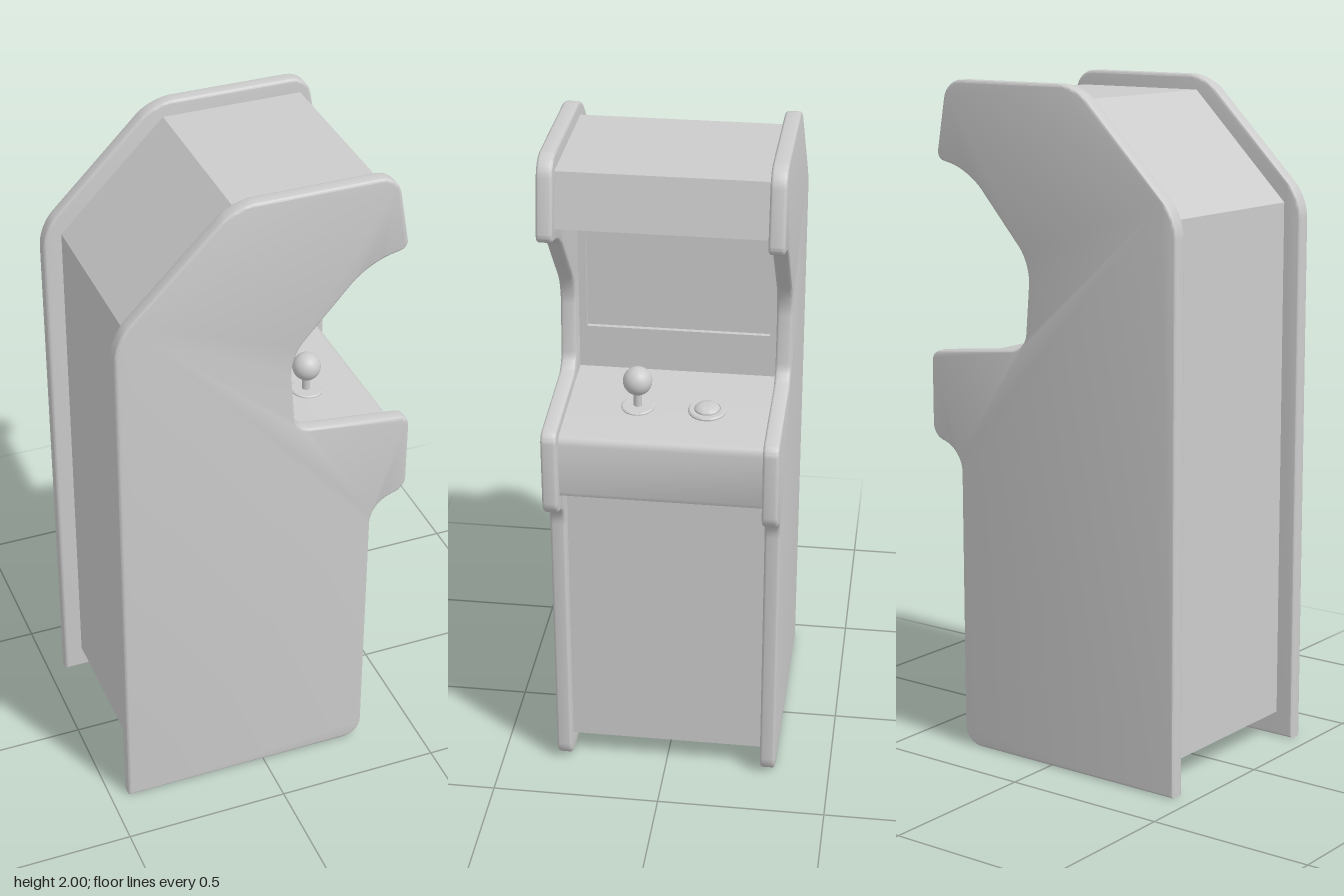
import * as THREE from 'three';
import { toCreasedNormals } from 'three/addons/utils/BufferGeometryUtils.js';

const grey = new THREE.MeshStandardMaterial({ color: 0xcccccc });
const thin = new THREE.MeshStandardMaterial({ color: 0xcccccc, side: THREE.DoubleSide });

const PANEL_IN = 0.29, PANEL_OUT = 0.335; // z range of a side panel
const WALL_X = 0.02;                      // face of the monitor wall

function addMesh(parent, name, geometry, material = grey) {
  const mesh = new THREE.Mesh(geometry, material);
  mesh.name = name;
  parent.add(mesh);
  return mesh;
}

// Closed outline from corners [x, y, t]; t is how far the rounding reaches along each edge
function roundedShape(corners) {
  const shape = new THREE.Shape();
  const n = corners.length;
  corners.forEach(([x, y, t], i) => {
    const p = new THREE.Vector2(x, y);
    const toward = ([ax, ay]) => p.clone().add(new THREE.Vector2(ax - x, ay - y).setLength(t));
    const a = t ? toward(corners[(i + n - 1) % n]) : p;
    if (i === 0) shape.moveTo(a.x, a.y);
    else shape.lineTo(a.x, a.y);
    if (t) {
      const b = toward(corners[(i + 1) % n]);
      const k = 0.56; // near-circular rounding
      const c1 = a.clone().lerp(p, k), c2 = b.clone().lerp(p, k);
      shape.bezierCurveTo(c1.x, c1.y, c2.x, c2.y, b.x, b.y);
    }
  });
  shape.closePath();
  return shape;
}

// Sheet running along profile points in x/y, spanning the width between the panels
function sheet(points, halfWidth) {
  const v = [];
  for (let i = 0; i < points.length - 1; i++) {
    const [ax, ay] = points[i], [bx, by] = points[i + 1];
    const w = halfWidth;
    v.push(ax, ay, -w, ax, ay, w, bx, by, w, ax, ay, -w, bx, by, w, bx, by, -w);
  }
  const g = new THREE.BufferGeometry();
  g.setAttribute('position', new THREE.Float32BufferAttribute(v, 3));
  return toCreasedNormals(g, 0.6);
}

function rectangle(path, w, y0, y1) {
  path.moveTo(-w, y0);
  path.lineTo(w, y0);
  path.lineTo(w, y1);
  path.lineTo(-w, y1);
  path.closePath();
  return path;
}

export function createModel() {
  const group = new THREE.Group();
  group.name = 'arcadeCabinet';

  // Side panels with softened rims
  const outline = roundedShape([
    [-0.445, 0, 0], [0.33, 0, 0.06], [0.33, 0.91, 0.065], [0.44, 0.945, 0.035],
    [0.44, 1.2, 0.03], [0.085, 1.24, 0.045], [0.065, 1.49, 0.06], [0.29, 1.743, 0.07],
    [0.41, 1.77, 0.025], [0.37, 2, 0.055], [-0.1, 2, 0.06], [-0.445, 1.655, 0.06],
  ]);
  const bevel = 0.008;
  const panel = toCreasedNormals(new THREE.ExtrudeGeometry(outline, {
    depth: PANEL_OUT - PANEL_IN - 2 * bevel, curveSegments: 8,
    bevelSize: bevel, bevelThickness: bevel, bevelOffset: -bevel, bevelSegments: 3,
  }), 0.6);
  addMesh(group, 'leftPanel', panel).position.z = PANEL_IN + bevel;
  addMesh(group, 'rightPanel', panel).position.z = -PANEL_OUT + bevel;

  // Back, roof and marquee; the bottom of the cabinet is open
  addMesh(group, 'backAndMarquee', sheet([
    [-0.39, 0.075], [-0.39, 1.64], [-0.075, 1.955], [0.345, 1.955],
    [0.375, 1.8], [WALL_X, 1.765],
  ], 0.294), thin);

  // Control deck with a rounded front edge, and the lower front
  addMesh(group, 'controlDeckAndFront', sheet([
    [WALL_X, 1.21], [0.383, 1.177], [0.395, 1.173], [0.402, 1.165], [0.405, 1.152],
    [0.405, 1.0], [0.4, 0.987], [0.388, 0.98], [0.29, 0.98], [0.29, 0.075],
  ], 0.294), thin);

  // Monitor wall with a recessed screen
  const wall = rectangle(new THREE.Shape(), 0.294, 1.21, 1.765);
  wall.holes.push(rectangle(new THREE.Path(), 0.267, 1.34, 1.635));
  const depth = 0.015;
  const bezel = addMesh(group, 'monitorWall',
    new THREE.ExtrudeGeometry(wall, { depth, bevelEnabled: false }));
  bezel.rotation.y = Math.PI / 2;
  bezel.position.x = WALL_X - depth;
  const screen = addMesh(group, 'screen', new THREE.PlaneGeometry(0.54, 0.3), thin);
  screen.rotation.y = Math.PI / 2;
  screen.position.set(WALL_X - depth + 0.001, 1.4875, 0);

  // Controls stand on the sloping deck
  const slope = -Math.atan2(0.033, 0.363);
  const control = (name, z) => {
    const g = new THREE.Group();
    g.name = name;
    g.position.set(0.22, 1.192, z);
    g.rotation.z = slope;
    group.add(g);
    return g;
  };
  const lathe = (pts) => toCreasedNormals(
    new THREE.LatheGeometry(pts.map(([r, y]) => new THREE.Vector2(r, y)), 32), 0.6);

  const stick = control('joystick', 0.09);
  stick.rotation.z = 0;
  addMesh(stick, 'joystickBase', lathe([[0.048, -0.004], [0.048, 0.003], [0.044, 0.006], [0, 0.006]]))
    .rotation.z = slope;
  addMesh(stick, 'joystickShaft', new THREE.CylinderGeometry(0.012, 0.012, 0.07, 20)).position.y = 0.03;
  addMesh(stick, 'joystickBall', new THREE.SphereGeometry(0.042, 32, 20)).position.y = 0.083;

  const button = control('button', -0.11);
  addMesh(button, 'buttonRing', lathe([[0.055, -0.004], [0.055, 0.004], [0.051, 0.008], [0.038, 0.008], [0.036, 0]]));
  addMesh(button, 'buttonCap', lathe([[0.036, 0], [0.036, 0.01], [0.032, 0.015], [0.022, 0.019], [0.011, 0.021], [0, 0.022]]));

  return group;
}
